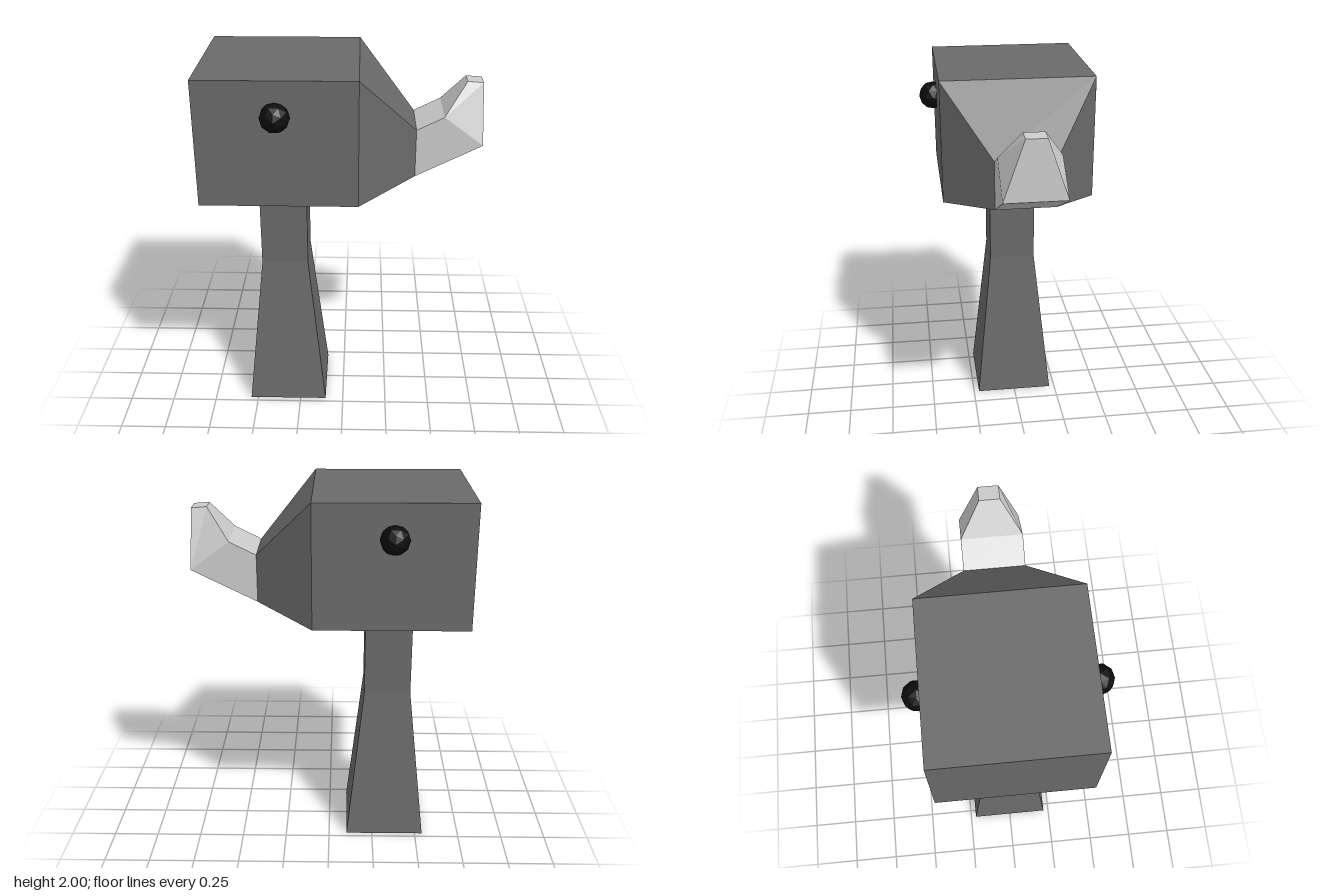
import * as THREE from 'three';

const mat = (color) => new THREE.MeshStandardMaterial({ color, flatShading: true });

// Skin four-cornered rings into a faceted solid; skip(segment, side) leaves a face open.
function loft(rings, { start = false, end = false, skip = () => false } = {}) {
  const pos = [];
  const quad = (a, b, c, d) => pos.push(...a, ...b, ...c, ...a, ...c, ...d);
  for (let i = 0; i < rings.length - 1; i++) {
    for (let s = 0; s < 4; s++) {
      if (skip(i, s)) continue;
      const t = (s + 1) % 4;
      quad(rings[i][s], rings[i][t], rings[i + 1][t], rings[i + 1][s]);
    }
  }
  if (start) quad(...[...rings[0]].reverse());
  if (end) quad(...rings[rings.length - 1]);
  const g = new THREE.BufferGeometry();
  g.setAttribute('position', new THREE.Float32BufferAttribute(pos, 3));
  g.computeVertexNormals();
  return g;
}

// Horizontal ring, for lofting upward
const level = (y, x0, x1, z) => [[x0, y, z], [x1, y, z], [x1, y, -z], [x0, y, -z]];
// Upright ring from a lower and an upper edge, for lofting toward +x
const section = ([xb, yb], [xt, yt], z) => [[xb, yb, z], [xb, yb, -z], [xt, yt, -z], [xt, yt, z]];

export function createModel() {
  const group = new THREE.Group();
  const dark = mat(0x6a6a6a), light = mat(0xc8c8c8), black = mat(0x0c0c0c);
  const add = (name, geometry, material) => {
    const mesh = new THREE.Mesh(geometry, material);
    mesh.name = name;
    group.add(mesh);
    return mesh;
  };

  // Flared neck
  const neckTop = level(1.307, -0.45, -0.195, 0.128);
  add('neck', loft([
    level(0, -0.542, -0.102, 0.22),
    level(0.87, -0.45, -0.195, 0.128),
    neckTop,
  ], { start: true }), dark);

  // Boxy head with sloping underside, open where the snout joins
  add('head', loft([
    neckTop,
    level(1.348, -0.724, 0.083, 0.403),
    level(2, -0.724, 0.083, 0.403),
  ], { end: true, skip: (i, s) => i === 1 && s === 1 }), dark);

  // Tapering face between head and beak
  const beakRoot = section([0.377, 1.412], [0.377, 1.667], 0.157);
  add('face', loft([section([0.083, 1.348], [0.083, 2], 0.403), beakRoot]), dark);

  // Upturned beak
  add('beak', loft([
    beakRoot,
    section([0.721, 1.585], [0.517, 1.737], 0.157),
    section([0.717, 1.888], [0.635, 1.894], 0.052),
  ], { end: true }), light);

  // Faceted eyes
  for (const side of [1, -1]) {
    const eye = add(side > 0 ? 'frontEye' : 'backEye', new THREE.IcosahedronGeometry(0.075, 1), black);
    eye.position.set(-0.322, 1.822, side * 0.421);
  }

  return group;
}
